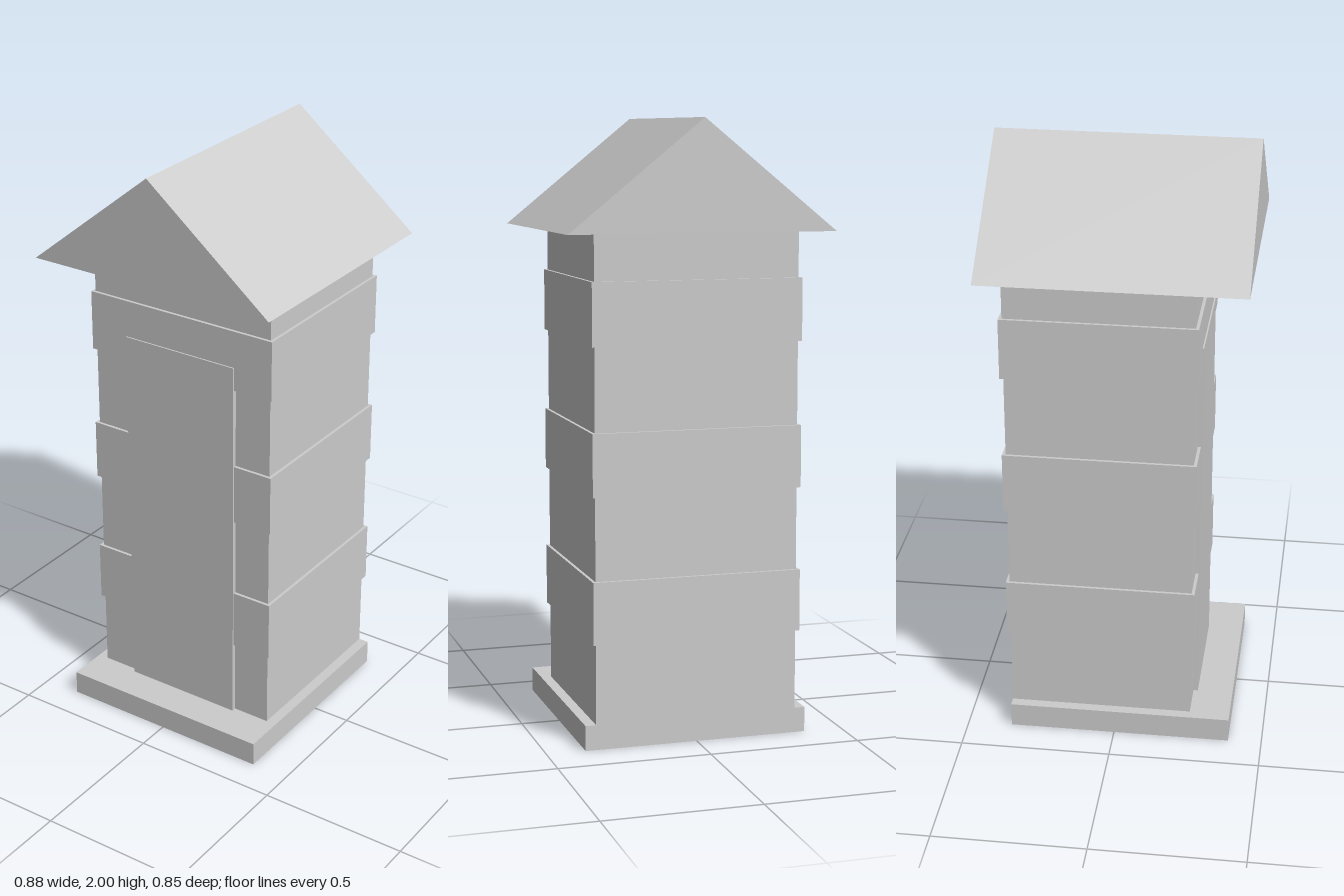
import * as THREE from 'three';

export function createModel() {
  const group = new THREE.Group();
  const grey = new THREE.MeshStandardMaterial({ color: 0xcccccc });
  grey.name = 'lightGrey';

  const add = (name, geometry) => {
    const mesh = new THREE.Mesh(geometry, grey);
    mesh.name = name;
    group.add(mesh);
    return mesh;
  };

  // Box centred on x, given by half width and its y and z limits
  const block = (name, halfWidth, y0, y1, z0, z1) =>
    add(name, new THREE.BoxGeometry(halfWidth * 2, y1 - y0, z1 - z0))
      .position.set(0, (y0 + y1) / 2, (z0 + z1) / 2);

  // Floor slab, flush with the back wall and forming a step in front
  block('base', 0.372, 0, 0.082, -0.352, 0.388);

  // Walls
  block('walls', 0.337, 0.082, 1.645, -0.352, 0.254);

  // Raised planks wrapped around the walls
  for (const y of [0.345, 0.819, 1.293]) {
    block('plankBand', 0.347, y, y + 0.203, -0.363, 0.264);
  }

  // Door standing slightly proud of the planks
  block('door', 0.208, 0.082, 1.372, 0.25, 0.269);

  // Gabled roof prism
  const gable = new THREE.Shape([
    new THREE.Vector2(-0.438, 1.645),
    new THREE.Vector2(0.438, 1.645),
    new THREE.Vector2(0, 2),
  ]);
  const roof = new THREE.ExtrudeGeometry(gable, { depth: 0.846, bevelEnabled: false });
  add('roof', roof.translate(0, 0, -0.423));

  return group;
}
